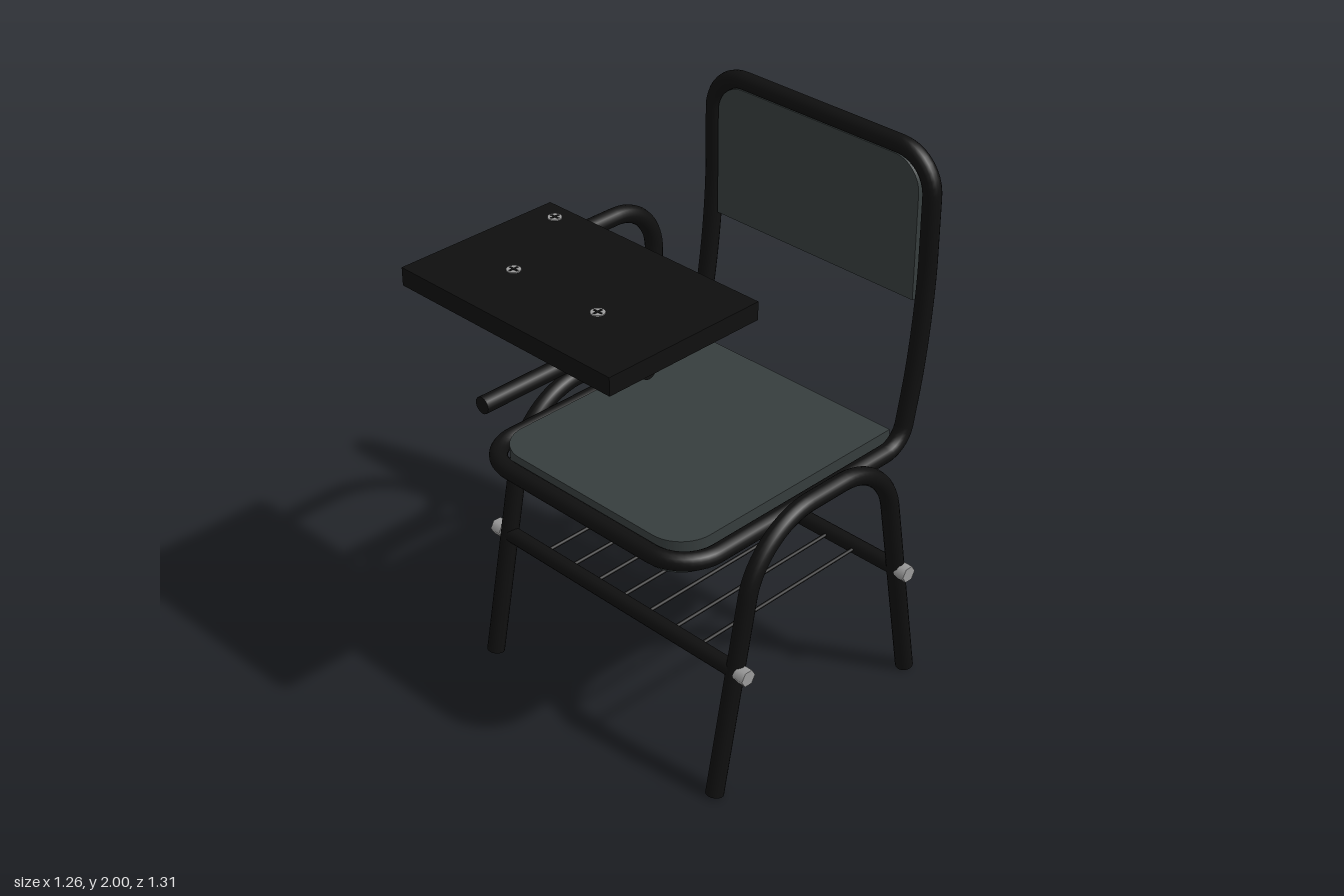
import * as THREE from 'three';
import { mergeGeometries } from 'three/addons/utils/BufferGeometryUtils.js';

const black = new THREE.MeshStandardMaterial({ color: 0x0f0f0f });
black.name = 'black';
const slate = new THREE.MeshStandardMaterial({ color: 0x363d3d });
slate.name = 'slate grey';
const steel = new THREE.MeshStandardMaterial({ color: 0x9c9c9c });
steel.name = 'steel';

const R = 0.032;
const V = (x, y, z) => new THREE.Vector3(x, y, z);

function mesh(name, geometry, material) {
  const m = new THREE.Mesh(geometry, material);
  m.name = name;
  return m;
}

// Straight runs joined by smooth bends; each point is [x, y, z, setback]
function bentPath(points, closed) {
  const path = new THREE.CurvePath();
  const n = points.length;
  const at = (i) => V(...points[(i + n) % n].slice(0, 3));
  const bends = points.map((q, i) => {
    const p = at(i);
    const d = q[3] || 0;
    const toward = (o) => p.clone().add(o.sub(p).setLength(d));
    return { p, a: d ? toward(at(i - 1)) : p, b: d ? toward(at(i + 1)) : p };
  });
  bends.forEach((bend, i) => {
    const { p, a, b } = bend;
    if (a !== p) {
      path.add(new THREE.CubicBezierCurve3(a, a.clone().lerp(p, 0.56), b.clone().lerp(p, 0.56), b));
    }
    if (closed || i < n - 1) path.add(new THREE.LineCurve3(b, bends[(i + 1) % n].a));
  });
  return path;
}

// Bent tube with flat end caps
function pipe(name, points, segments, closed = false) {
  const path = bentPath(points, closed);
  const parts = [new THREE.TubeGeometry(path, segments, R, 16, closed)];
  if (!closed) {
    for (const t of [0, 1]) {
      const dir = path.getTangentAt(t).multiplyScalar(t ? 1 : -1);
      const cap = new THREE.CircleGeometry(R, 16);
      cap.applyQuaternion(new THREE.Quaternion().setFromUnitVectors(V(0, 0, 1), dir));
      const p = path.getPointAt(t);
      parts.push(cap.translate(p.x, p.y, p.z));
    }
  }
  return mesh(name, mergeGeometries(parts), black);
}

// Straight rod along x or z
function rod(name, axis, length, radius, sides, material) {
  const g = new THREE.CylinderGeometry(radius, radius, length, sides);
  if (axis === 'x') g.rotateZ(Math.PI / 2);
  else g.rotateX(Math.PI / 2);
  return mesh(name, g, material);
}

// Panel with two rounded corners on its upper edge
function panel(x0, x1, y0, y1, r, depth) {
  const s = new THREE.Shape();
  s.moveTo(x0, y0);
  s.lineTo(x1, y0);
  s.lineTo(x1, y1 - r);
  s.absarc(x1 - r, y1 - r, r, 0, Math.PI / 2, false);
  s.lineTo(x0 + r, y1);
  s.absarc(x0 + r, y1 - r, r, Math.PI / 2, Math.PI, false);
  s.closePath();
  return new THREE.ExtrudeGeometry(s, { depth, bevelEnabled: false, curveSegments: 12 });
}

export function createModel() {
  const chair = new THREE.Group();
  chair.name = 'tabletArmChair';
  const xl = -0.47, xr = 0.5;

  // One continuous tube forms the seat and back frame
  chair.add(pipe('seatAndBackFrame', [
    [xl, 1.968, -0.62, 0.14], [xr, 1.968, -0.62, 0.14],
    [xr, 1.36, -0.62, 0.25], [xr, 0.922, -0.53, 0.08],
    [xr, 0.922, 0.507, 0.15], [xl, 0.922, 0.507, 0.15],
    [xl, 0.922, -0.53, 0.08], [xl, 1.36, -0.62, 0.25],
  ], 260, true));

  // Seat and backrest
  const seat = panel(-0.43, 0.46, -0.52, 0.48, 0.13, 0.12);
  seat.rotateX(Math.PI / 2).translate(0, 0.97, 0);
  chair.add(mesh('seat', seat, slate));
  const back = panel(-0.435, 0.46, 1.44, 1.94, 0.11, 0.04);
  chair.add(mesh('backrest', back.translate(0, 0, -0.64), slate));

  // Arched leg pairs
  for (const [name, x] of [['rightLegs', -0.537], ['leftLegs', 0.566]]) {
    chair.add(pipe(name, [
      [x, 0.007, 0.43], [x, 0.978, 0.24, 0.24],
      [x, 0.978, -0.375, 0.22], [x, 0.007, -0.545],
    ], 100));
  }

  // Crossbars with hex bolts at both ends
  const barY = 0.478;
  for (const z of [0.34, -0.462]) {
    const bar = rod('crossbar', 'x', 1.1, 0.029, 16, black);
    bar.position.set(0.015, barY, z);
    chair.add(bar);
    for (const x of [-0.58, 0.605]) {
      const bolt = rod('bolt', 'x', 0.044, 0.031, 6, steel);
      bolt.position.set(x, barY, z);
      chair.add(bolt);
    }
  }

  // Wire book rack
  for (let i = 0; i < 7; i++) {
    const wire = rod('rackWire', 'z', 0.8, 0.007, 8, black);
    wire.position.set(-0.36 + i * 0.125, barY, -0.061);
    chair.add(wire);
  }

  // Arm tube curling up and across under the writing tablet
  const ax = -0.54;
  chair.add(pipe('armTube', [
    [ax, 1.046, 0.43], [ax, 1.046, -0.388, 0.19], [ax, 1.53, -0.388, 0.19],
    [ax, 1.53, 0.428, 0.035], [0.27, 1.53, 0.428],
  ], 180));

  // Writing tablet
  const tablet = mesh('writingTablet', new THREE.BoxGeometry(0.965, 0.066, 0.645), black);
  tablet.position.set(-0.1475, 1.598, 0.3345);
  chair.add(tablet);

  // Cross-head screws
  for (const [x, z] of [[-0.535, 0.078], [-0.362, 0.415], [0.03, 0.415]]) {
    const screw = new THREE.Group();
    screw.name = 'screw';
    screw.add(mesh('screwHead', new THREE.CylinderGeometry(0.025, 0.025, 0.006, 20), steel));
    for (const [w, d] of [[0.036, 0.008], [0.008, 0.036]]) {
      const slot = mesh('screwSlot', new THREE.BoxGeometry(w, 0.002, d), black);
      slot.position.y = 0.0035;
      screw.add(slot);
    }
    screw.position.set(x, 1.632, z);
    chair.add(screw);
  }
  return chair;
}
